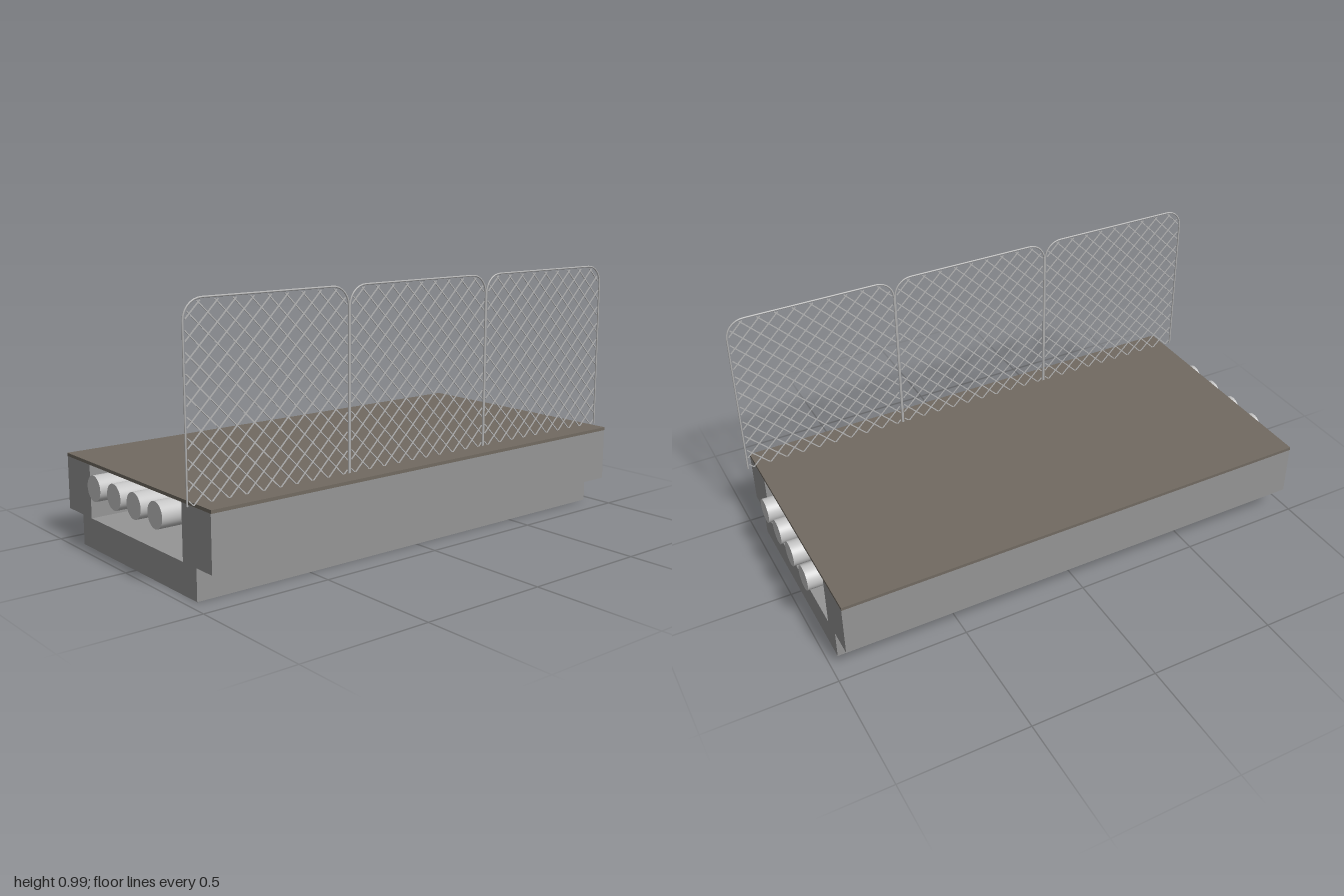
import * as THREE from 'three';
import { mergeGeometries } from 'three/addons/utils/BufferGeometryUtils.js';

const material = (name, color) => {
  const m = new THREE.MeshStandardMaterial({ color });
  m.name = name;
  return m;
};

const FENCE_BASE = 0.328, FENCE_TOP = 0.988, HALF = 0.33, CORNER = 0.07, FENCE_Z = 0.41;
const INSET = 0.006;

// Is a point inside the panel outline with its rounded top corners?
function insidePanel(x, y) {
  const ax = Math.abs(x);
  if (ax > HALF - INSET || y < FENCE_BASE || y > FENCE_TOP - INSET) return false;
  const dx = ax - (HALF - CORNER), dy = y - (FENCE_TOP - CORNER);
  return dx <= 0 || dy <= 0 || Math.hypot(dx, dy) <= CORNER - INSET;
}

// Two sets of diagonal wires, cut off at the outline
function wireMesh() {
  const wires = [], pitch = 0.068, step = 0.002;
  for (const dir of [1, -1]) {
    for (let i = -15; i <= 15; i++) {
      const x0 = (i + 0.5) * pitch;
      let first = null, last = null;
      for (let t = 0; t <= FENCE_TOP - FENCE_BASE; t += step) {
        const x = x0 + dir * t, y = FENCE_BASE + t;
        if (!insidePanel(x, y)) continue;
        first ??= [x, y];
        last = [x, y];
      }
      if (!first) continue;
      const length = Math.hypot(last[0] - first[0], last[1] - first[1]);
      if (length < 0.02) continue;
      const wire = new THREE.BoxGeometry(length, 0.004, 0.003);
      wire.rotateZ(dir * Math.PI / 4);
      wire.translate((first[0] + last[0]) / 2, (first[1] + last[1]) / 2, dir * 0.001);
      wires.push(wire);
    }
  }
  return mergeGeometries(wires);
}

// Bent tube: post, rounded corner, top rail, rounded corner, post
function frameTube() {
  const v = (x, y) => new THREE.Vector3(x, y, 0);
  const yc = FENCE_TOP - CORNER, xc = HALF - CORNER;
  const points = [v(-HALF, FENCE_BASE)];
  for (const [cx, start] of [[-xc, Math.PI], [xc, Math.PI / 2]]) {
    for (let i = 0; i <= 8; i++) {
      const a = start - i / 8 * Math.PI / 2;
      points.push(v(cx + CORNER * Math.cos(a), yc + CORNER * Math.sin(a)));
    }
  }
  points.push(v(HALF, FENCE_BASE));
  const path = new THREE.CurvePath();
  for (let i = 1; i < points.length; i++) path.add(new THREE.LineCurve3(points[i - 1], points[i]));
  return new THREE.TubeGeometry(path, 120, 0.0033, 8);
}

export function createModel() {
  const concrete = material('concrete', 0x959595);
  const paving = material('paving', 0x716a61);
  const pipeGrey = material('pipe grey', 0xc5c5c5);
  const fenceSteel = material('fence steel', 0xb4b4b4);

  const model = new THREE.Group();
  const add = (name, geometry, mat, x, y, z, parent = model) => {
    const mesh = new THREE.Mesh(geometry, mat);
    mesh.name = name;
    mesh.position.set(x, y, z);
    parent.add(mesh);
  };

  // Base slab, two long beams and the deck above them
  add('baseSlab', new THREE.BoxGeometry(1.92, 0.115, 0.785), concrete, 0, 0.0575, 0.0075);
  add('frontBeam', new THREE.BoxGeometry(1.92, 0.203, 0.175), concrete, 0, 0.2165, 0.405);
  add('backBeam', new THREE.BoxGeometry(1.92, 0.203, 0.175), concrete, 0, 0.2165, -0.406);
  add('deck', new THREE.BoxGeometry(1.92, 0.012, 0.99), paving, 0, 0.324, 0);

  // Pipes running the whole length through the channel
  const pipe = new THREE.CylinderGeometry(0.048, 0.048, 2, 40).rotateZ(Math.PI / 2);
  for (const z of [0.214, 0.073, -0.066, -0.212]) add('pipe', pipe, pipeGrey, 0, 0.257, z);

  // Three fence panels along the front
  const frame = frameTube(), wires = wireMesh();
  for (const x of [-0.664, 0, 0.664]) {
    const panel = new THREE.Group();
    panel.name = 'fencePanel';
    panel.position.set(x, 0, FENCE_Z);
    add('fenceFrame', frame, fenceSteel, 0, 0, 0, panel);
    add('fenceMesh', wires, fenceSteel, 0, 0, 0, panel);
    model.add(panel);
  }
  return model;
}
